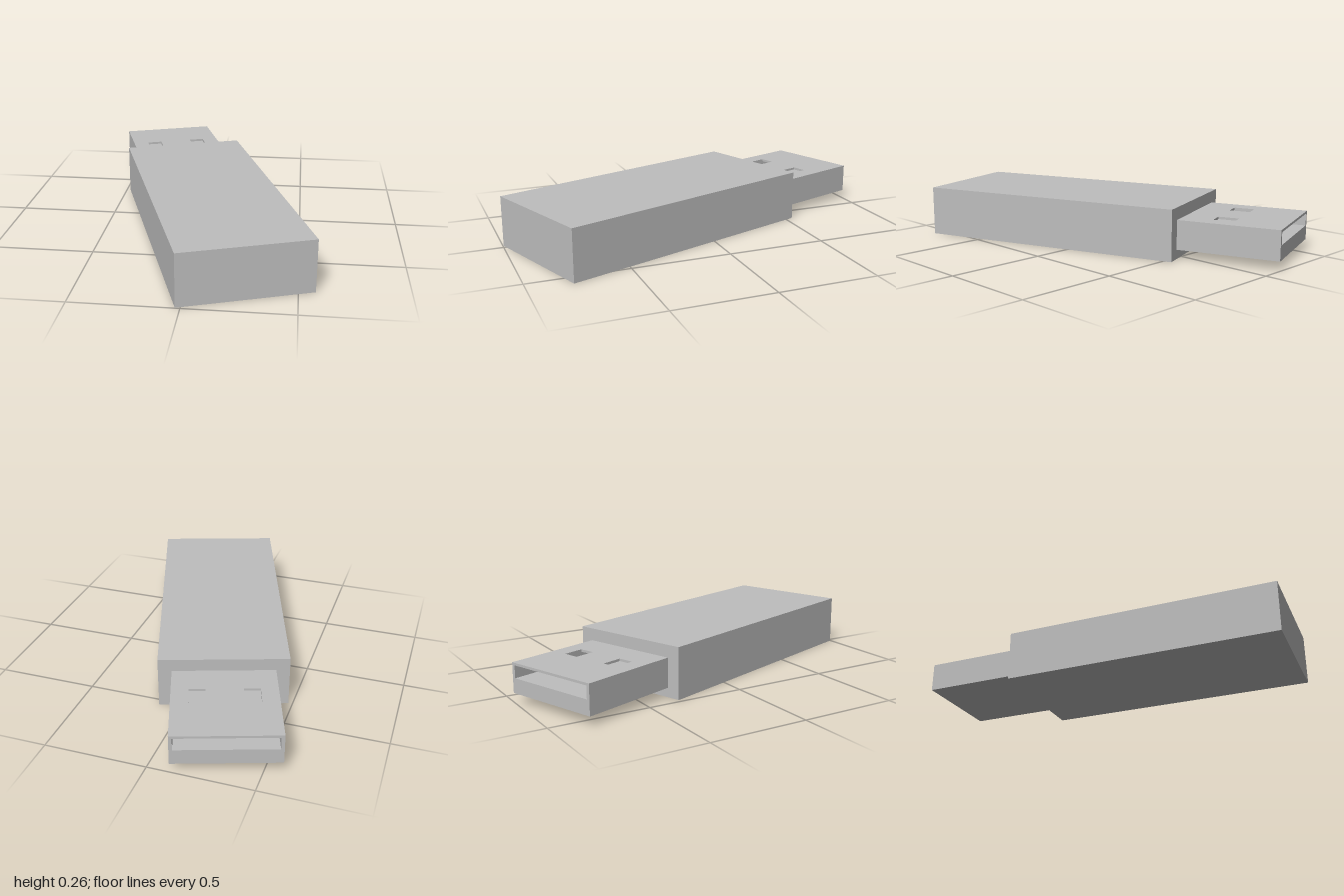
import * as THREE from 'three';

const grey = new THREE.MeshStandardMaterial({ color: 0xbebebe });
grey.name = 'grey';

function addPart(group, name, geometry) {
  const mesh = new THREE.Mesh(geometry, grey);
  mesh.name = name;
  group.add(mesh);
  return mesh;
}

function polygon(points, Type = THREE.Shape) {
  return new Type(points.map(([x, y]) => new THREE.Vector2(x, y)));
}

function rectangle(cx, cy, w, h) {
  const x = w / 2, y = h / 2;
  return [[cx - x, cy - y], [cx + x, cy - y], [cx + x, cy + y], [cx - x, cy + y]];
}

export function createModel() {
  const model = new THREE.Group();
  model.name = 'memoryStick';

  // Everything is built along z, then turned about the vertical axis
  const stick = new THREE.Group();
  stick.name = 'stick';
  stick.rotation.y = 0.331;
  model.add(stick);

  // Main casing
  const bodyBack = -0.472, bodyFront = 0.935, bodyHeight = 0.257;
  const body = addPart(stick, 'casing',
    new THREE.BoxGeometry(0.634, bodyHeight, bodyFront - bodyBack));
  body.position.set(-0.028, bodyHeight / 2, (bodyBack + bodyFront) / 2);

  // Plug: a channel with a thick floor and thin side walls
  const plugBack = -0.982, plugLength = bodyBack - plugBack;
  const half = 0.251, inner = 0.235, bottom = 0.047, floor = 0.121, ceiling = 0.183, top = 0.195;
  const channel = polygon([
    [-half, bottom], [half, bottom], [half, ceiling], [inner, ceiling],
    [inner, floor], [-inner, floor], [-inner, ceiling], [-half, ceiling],
  ]);
  const plug = addPart(stick, 'plugChannel',
    new THREE.ExtrudeGeometry(channel, { depth: plugLength, bevelEnabled: false }));
  plug.position.set(-0.028, 0, plugBack);

  // Plug roof with two rectangular openings
  const roof = polygon(rectangle(0, -(plugBack + bodyBack) / 2, half * 2, plugLength));
  for (const side of [-1, 1]) {
    roof.holes.push(polygon(rectangle(side * 0.128, 0.679, 0.079, 0.105), THREE.Path));
  }
  const roofGeometry = new THREE.ExtrudeGeometry(roof, { depth: top - ceiling, bevelEnabled: false });
  roofGeometry.rotateX(-Math.PI / 2);
  addPart(stick, 'plugRoof', roofGeometry).position.set(-0.028, ceiling, 0);

  return model;
}
